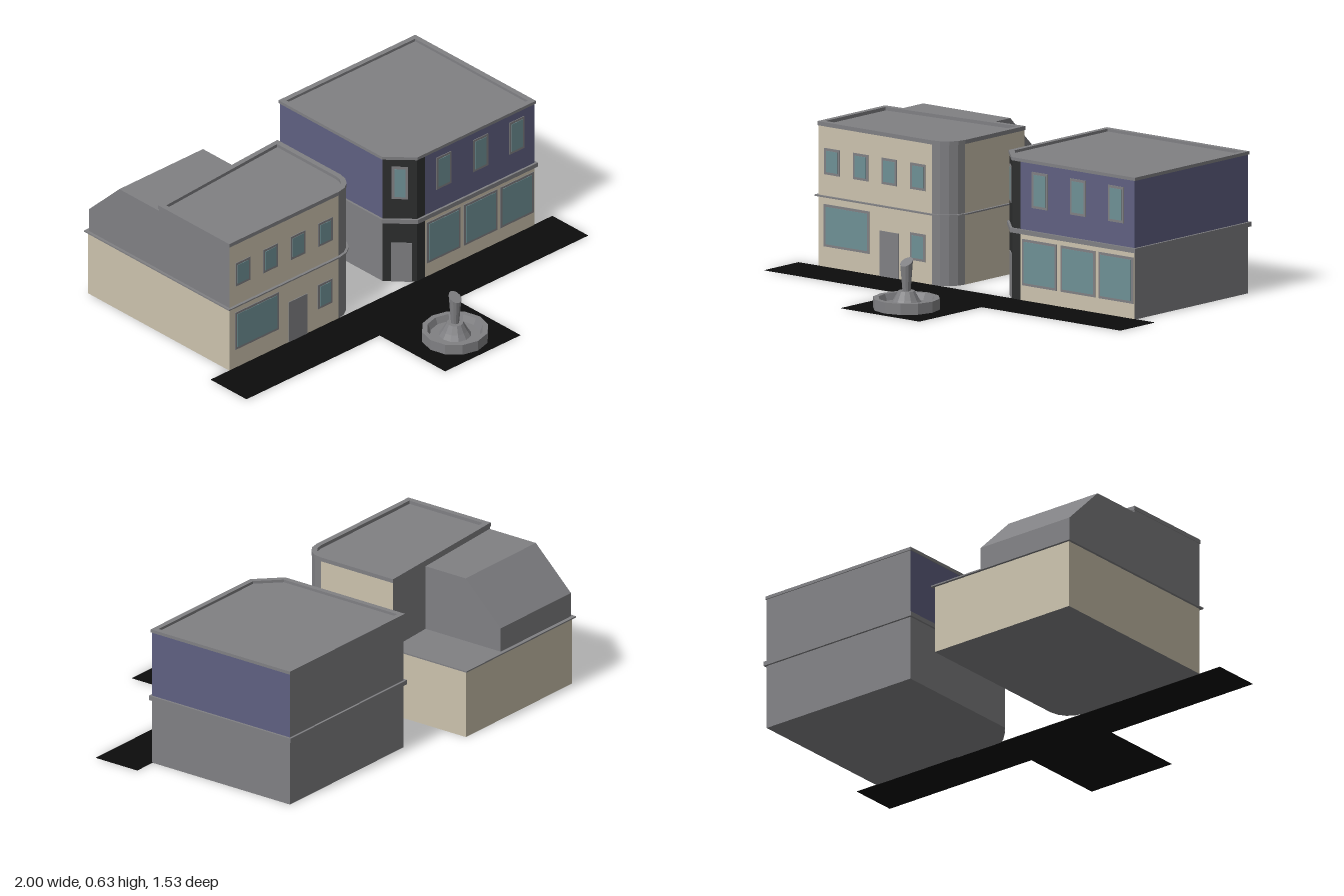
import * as THREE from 'three';

const mat = (name, color) => {
  const m = new THREE.MeshStandardMaterial({ color });
  m.name = name;
  return m;
};

export function createModel() {
  const grey = mat('grey stone', 0x808083);
  const beige = mat('beige plaster', 0xcbc2ad);
  const blue = mat('blue plaster', 0x5f6081);
  const glass = mat('window glass', 0x6e9095);
  const black = mat('black facade', 0x2d2e2e);
  const asphalt = mat('asphalt', 0x0c0c0c);

  const model = new THREE.Group();
  model.name = 'streetCorner';

  const group = (name) => {
    const g = new THREE.Group();
    g.name = name;
    model.add(g);
    return g;
  };
  const add = (parent, name, geometry, material) => {
    const m = new THREE.Mesh(geometry, material);
    m.name = name;
    parent.add(m);
    return m;
  };

  // Footprints are [x, z] points running front left to right, then round the back
  const shapeOf = (pts, sign = -1) => new THREE.Shape(pts.map(([x, z]) => new THREE.Vector2(x, sign * z)));

  const walls = (parent, name, pts, y0, y1, mats) => pts.forEach((a, i) => {
    const b = pts[(i + 1) % pts.length];
    const dx = b[0] - a[0], dz = b[1] - a[1];
    const m = add(parent, name, new THREE.PlaneGeometry(Math.hypot(dx, dz), y1 - y0), mats[i]);
    m.position.set((a[0] + b[0]) / 2, (y0 + y1) / 2, (a[1] + b[1]) / 2);
    m.rotation.y = Math.atan2(-dz, dx);
  });

  const slab = (parent, name, pts, y0, y1, material, hole) => {
    const s = shapeOf(pts);
    if (hole) s.holes.push(shapeOf(hole));
    const g = new THREE.ExtrudeGeometry(s, { depth: y1 - y0, bevelEnabled: false });
    add(parent, name, g.rotateX(-Math.PI / 2), material).position.y = y0;
  };
  const roof = (parent, name, pts, y) =>
    add(parent, name, new THREE.ShapeGeometry(shapeOf(pts)).rotateX(-Math.PI / 2), grey).position.y = y;
  const floor = (parent, pts) =>
    add(parent, 'underside', new THREE.ShapeGeometry(shapeOf(pts, 1)).rotateX(Math.PI / 2), grey);

  // Framed window or door; x and z locate it, y0 and y1 are its outer edges
  const plate = (parent, name, x, z, w, y0, y1, t, material, turn) => {
    const m = add(parent, name, new THREE.BoxGeometry(w, y1 - y0, t), material);
    m.position.set(x, (y0 + y1) / 2, z);
    m.rotation.y = turn;
  };
  const windowAt = (parent, x, z, w, y0, y1, turn = 0) => {
    plate(parent, 'windowFrame', x, z, w, y0, y1, 0.006, grey, turn);
    plate(parent, 'windowPane', x, z, w - 0.022, y0 + 0.011, y1 - 0.011, 0.0095, glass, turn);
  };

  // ---- Beige building with a rounded corner ----
  const left = group('beigeBuilding');
  const SEG = 4;
  const leftPlan = (o, backRight, backLeft) => {
    const pts = [[-0.89 - o, 0.13 + o]];
    for (let i = 0; i <= SEG; i++) {
      const a = (Math.PI / 2) * (1 - i / SEG);
      pts.push([-0.25 + (0.1 + o) * Math.cos(a), 0.03 + (0.1 + o) * Math.sin(a)]);
    }
    pts.push([-0.15 + o, backRight - o], [-0.89 - o, backLeft - o]);
    return pts;
  };
  const corner = Array(SEG).fill(grey);
  const lower = leftPlan(0, -0.755, -0.755);
  const upper = leftPlan(0, -0.36, -0.31);
  walls(left, 'lowerWall', lower, 0, 0.306, [beige, ...corner, beige, beige, beige]);
  floor(left, lower);
  slab(left, 'ledge', leftPlan(0.012, -0.755, -0.755), 0.306, 0.312, grey);
  walls(left, 'upperWall', upper, 0.312, 0.614, [beige, ...corner, beige, grey, grey]);
  slab(left, 'parapet', leftPlan(0.003, -0.36, -0.31), 0.614, 0.632, grey, leftPlan(-0.022, -0.36, -0.31));
  roof(left, 'roof', upper, 0.617);

  // Rear annex with a sloping back, profile in z and y
  const annex = new THREE.Shape([[0.3, 0.31], [0.75, 0.31], [0.75, 0.42], [0.56, 0.603], [0.3, 0.603]]
    .map(([x, y]) => new THREE.Vector2(x, y)));
  const annexGeo = new THREE.ExtrudeGeometry(annex, { depth: 0.49, bevelEnabled: false });
  add(left, 'rearAnnex', annexGeo.rotateY(Math.PI / 2), grey).position.x = -0.889;

  for (let i = 0; i < 4; i++) windowAt(left, -0.812 + i * 0.161, 0.13, 0.085, 0.405, 0.52);
  windowAt(left, -0.73, 0.13, 0.255, 0.09, 0.275);
  windowAt(left, -0.33, 0.13, 0.085, 0.095, 0.215);
  plate(left, 'door', -0.49, 0.13, 0.107, 0, 0.2, 0.008, grey, 0);

  // ---- Blue building with a cut corner ----
  const right = group('blueBuilding');
  const rightPlan = (o) => {
    const c = 0.414 * o;
    return [[0.1 - o, 0.03 + c], [0.205 - c, 0.135 + o], [0.25, 0.135 + o],
      [0.893 + o, 0.135 + o], [0.893 + o, -0.612 - o], [0.1 - o, -0.612 - o]];
  };
  const plan = rightPlan(0);
  walls(right, 'lowerWall', plan, 0, 0.292, [black, black, beige, grey, grey, grey]);
  floor(right, plan);
  slab(right, 'middleBand', rightPlan(0.01), 0.292, 0.312, grey);
  walls(right, 'upperWall', plan, 0.312, 0.606, [black, black, blue, blue, grey, blue]);
  slab(right, 'parapet', rightPlan(0.004), 0.606, 0.62, grey, rightPlan(-0.02));
  roof(right, 'roof', plan, 0.608);

  for (const x of [0.36, 0.575, 0.788]) windowAt(right, x, 0.135, 0.088, 0.412, 0.57);
  for (const x of [0.359, 0.575, 0.788]) windowAt(right, x, 0.135, 0.195, 0.068, 0.27);
  windowAt(right, 0.153, 0.083, 0.07, 0.41, 0.57, -Math.PI / 4);
  plate(right, 'cornerDoor', 0.158, 0.088, 0.09, 0, 0.192, 0.008, grey, -Math.PI / 4);

  // ---- T-shaped road ----
  slab(model, 'road', [[-1, 0.355], [-0.22, 0.355], [-0.22, 0.765], [0.22, 0.765], [0.22, 0.355],
    [1, 0.355], [1, 0.132], [-1, 0.132]], 0, 0.002, asphalt);

  // ---- Fountain ----
  const fountain = group('fountain');
  fountain.position.z = 0.592;
  const lathe = (name, pts) => add(fountain, name,
    new THREE.LatheGeometry(pts.map(([r, y]) => new THREE.Vector2(r, y)), 12).toNonIndexed(), grey)
    .geometry.computeVertexNormals();
  lathe('basin', [[0.145, 0.001], [0.145, 0.05], [0.122, 0.05], [0.11, 0.022], [0, 0.022]]);
  lathe('pedestal', [[0.07, 0.022], [0.055, 0.045], [0.036, 0.08], [0, 0.08]]);

  // Flared pillar whose top is cut at a slant
  const pillar = new THREE.CylinderGeometry(0.028, 0.018, 0.125, 12).translate(0, 0.1425, 0).toNonIndexed();
  const p = pillar.attributes.position;
  for (let i = 0; i < p.count; i++) if (p.getY(i) > 0.2) p.setY(i, 0.205 - p.getZ(i) * 0.6);
  pillar.computeVertexNormals();
  add(fountain, 'pillar', pillar, grey);

  return model;
}
